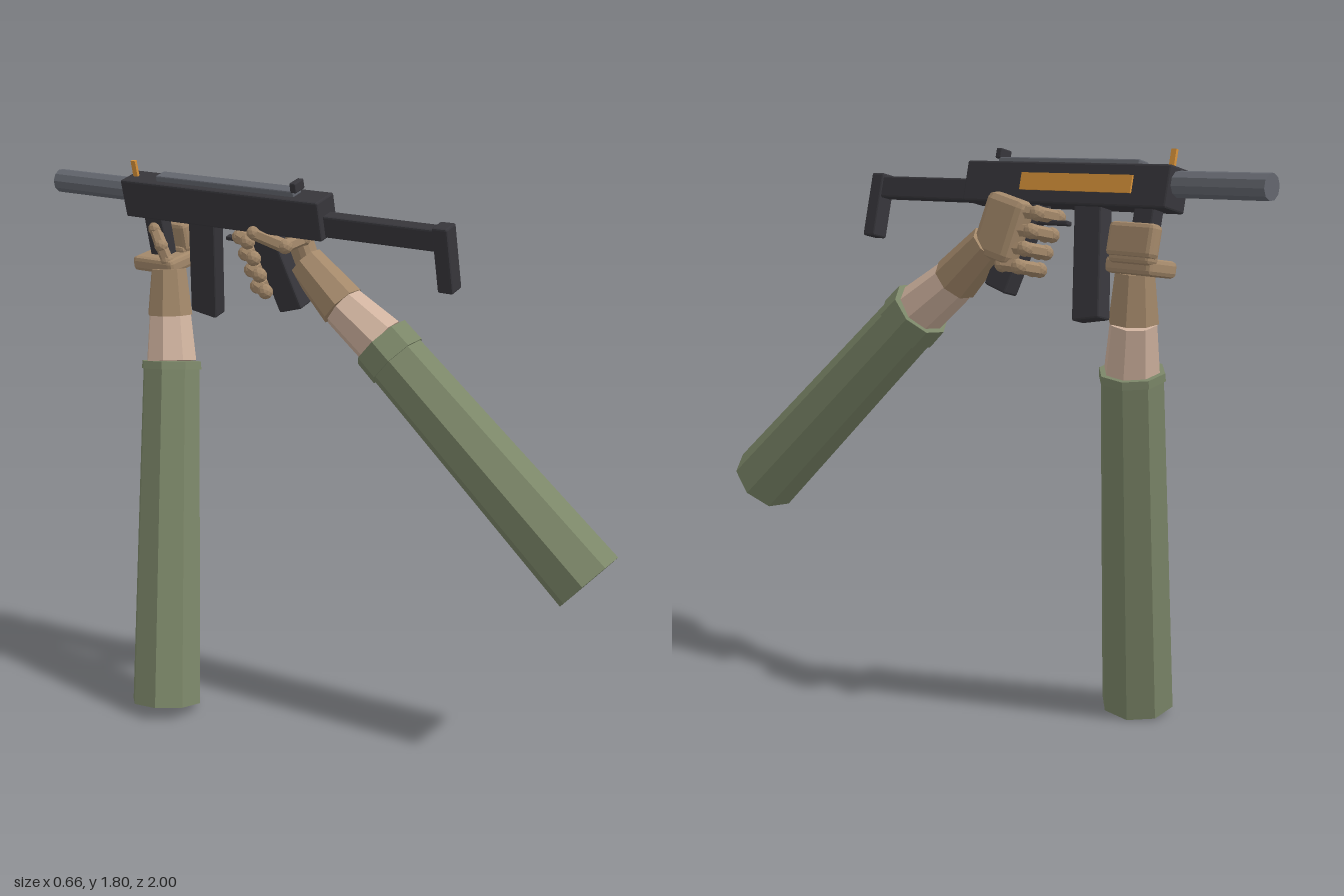
import * as THREE from 'three';
import { RoundedBoxGeometry } from 'three/addons/geometries/RoundedBoxGeometry.js';

const mat = (name, color) => {
  const m = new THREE.MeshStandardMaterial({ color });
  m.name = name;
  return m;
};

export function createModel() {
  const model = new THREE.Group();
  model.name = 'armsWithGun';
  const sleeve = mat('oliveSleeve', 0x7b8668);
  const skin = mat('skin', 0xcfb29e);
  const glove = mat('tanGlove', 0xa3886a);
  const black = mat('blackMetal', 0x37363b);
  const steel = mat('greySteel', 0x63666e);
  const orange = mat('orangePaint', 0xd9933a);
  const V = (p) => new THREE.Vector3(...p);

  // Faceted mesh
  const add = (parent, name, geometry, material, pos = [0, 0, 0], rot = [0, 0, 0]) => {
    const g = geometry.index ? geometry.toNonIndexed() : geometry;
    g.computeVertexNormals();
    const mesh = new THREE.Mesh(g, material);
    mesh.name = name;
    mesh.position.set(...pos);
    mesh.rotation.set(...rot);
    parent.add(mesh);
    return mesh;
  };
  // Box with a small chamfer
  const block = (parent, name, size, material, pos, rot, chamfer = 0.006) =>
    add(parent, name, new RoundedBoxGeometry(...size, 1, chamfer), material, pos, rot);
  // Tapered limb between two points
  const limb = (parent, name, a, b, ra, rb, material, sides = 8) => {
    const d = V(b).sub(V(a));
    const geo = new THREE.CylinderGeometry(rb, ra, d.length(), sides, 1, false, Math.PI / sides);
    const mesh = add(parent, name, geo, material);
    mesh.position.copy(V(a).add(V(b)).multiplyScalar(0.5));
    mesh.quaternion.setFromUnitVectors(new THREE.Vector3(0, 1, 0), d.normalize());
    return mesh;
  };
  // Finger: rounded segments with a knuckle at each bend
  const finger = (parent, name, points, r) => {
    points.forEach((p, i) => {
      add(parent, name + 'Knuckle', new THREE.IcosahedronGeometry(r * 1.12, 1), glove, p);
      if (i) limb(parent, name, points[i - 1], p, r, r * 0.95, glove, 6);
    });
  };

  // Gun, pointing to -z and rolled to its left
  const gun = new THREE.Group();
  gun.name = 'gun';
  gun.position.set(0.01, 1.684, -0.305);
  gun.rotation.set(0.015, 0.038, 0.25, 'YXZ');
  model.add(gun);
  block(gun, 'receiver', [0.096, 0.126, 0.775], black, [0, 0, 0]);
  block(gun, 'topRail', [0.046, 0.022, 0.54], steel, [0, 0.07, 0.015], [0, 0, 0], 0.004);
  add(gun, 'barrel', new THREE.CylinderGeometry(0.039, 0.039, 0.33, 10), steel,
    [0, 0.015, -0.532], [Math.PI / 2, 0, 0]);
  add(gun, 'sideStripe', new THREE.BoxGeometry(0.009, 0.052, 0.418), orange, [0.05, 0.002, -0.053]);
  block(gun, 'rearSight', [0.05, 0.032, 0.022], black, [0, 0.092, 0.288], [0, 0, 0], 0.004);
  add(gun, 'frontSight', new THREE.BoxGeometry(0.01, 0.055, 0.018), orange, [0, 0.088, -0.356]);
  block(gun, 'stockBar', [0.048, 0.07, 0.43], black, [0, -0.024, 0.595]);
  block(gun, 'stockButt', [0.058, 0.207, 0.052], black, [0, -0.084, 0.797]);
  block(gun, 'pistolGrip', [0.06, 0.29, 0.092], black, [0, -0.188, 0.175], [-0.29, 0, 0]);
  block(gun, 'triggerGuard', [0.024, 0.014, 0.17], black, [0, -0.112, 0.07], [0, 0, 0], 0.004);
  block(gun, 'trigger', [0.014, 0.05, 0.016], black, [0, -0.08, 0.075], [0.2, 0, 0], 0.004);
  block(gun, 'magazine', [0.056, 0.36, 0.1], black, [0, -0.216, -0.12], [0.165, 0, 0]);
  block(gun, 'foregrip', [0.05, 0.19, 0.072], black, [0, -0.14, -0.298]);

  // Arms: sleeve, cuff, bare forearm, glove wrist
  const arms = [
    { name: 'rearArm', hem: [0.22, 0.625, 0.925], cuff: [0.145, 1.284, 0.204],
      bare: [0.125, 1.385, 0.07], hand: [0.118, 1.51, -0.07], cuffLength: 0.08 },
    { name: 'frontArm', hem: [-0.225, 0.028, -0.4], cuff: [-0.022, 1.15, -0.522],
      bare: [0.007, 1.3, -0.549], hand: [0.018, 1.45, -0.56], cuffLength: 0.025 },
  ];
  for (const a of arms) {
    const arm = new THREE.Group();
    arm.name = a.name;
    model.add(arm);
    const dir = V(a.hem).sub(V(a.cuff)).normalize();
    const cuffStart = V(a.cuff).addScaledVector(dir, a.cuffLength).toArray();
    limb(arm, 'sleeve', a.hem, cuffStart, 0.118, 0.098, sleeve);
    limb(arm, 'cuff', cuffStart, a.cuff, 0.104, 0.102, sleeve);
    limb(arm, 'forearm', a.cuff, a.bare, 0.086, 0.072, skin);
    limb(arm, 'gloveWrist', a.bare, a.hand, 0.077, 0.06, glove);
  }

  // Rear hand, fingers wrapped around the pistol grip
  const rearHand = new THREE.Group();
  rearHand.name = 'rearHand';
  model.add(rearHand);
  block(rearHand, 'palm', [0.075, 0.2, 0.155], glove, [0.112, 1.555, -0.122], [-0.22, 0, 0.22], 0.025);
  for (let i = 0; i < 4; i++) {
    const y = 1.608 - i * 0.053, z = -0.248 + i * 0.014, s = i * 0.012;
    finger(rearHand, 'finger', [
      [0.1 + s, y, -0.17 + i * 0.01], [0.098 + s, y - 0.002, z],
      [0.005 + s, y - 0.02, z], [-0.03 + s, y - 0.025, z + 0.06],
    ], 0.022);
  }
  finger(rearHand, 'thumb', [[0.09, 1.59, -0.06], [0.01, 1.575, -0.07], [-0.02, 1.61, -0.17]], 0.022);

  // Front hand, cupping the foregrip from below
  const frontHand = new THREE.Group();
  frontHand.name = 'frontHand';
  model.add(frontHand);
  block(frontHand, 'palm', [0.13, 0.05, 0.17], glove, [0.045, 1.468, -0.603], [0, 0, 0.15], 0.014);
  block(frontHand, 'foldedFingers', [0.05, 0.1, 0.165], glove, [0.093, 1.548, -0.615], [0, 0, 0.22], 0.014);
  block(frontHand, 'fingertips', [0.05, 0.04, 0.15], glove, [0.095, 1.5, -0.615], [0, 0, 0.2], 0.012);
  finger(frontHand, 'thumb', [[0, 1.48, -0.55], [-0.012, 1.53, -0.565], [0.0, 1.58, -0.6]], 0.021);

  return model;
}
